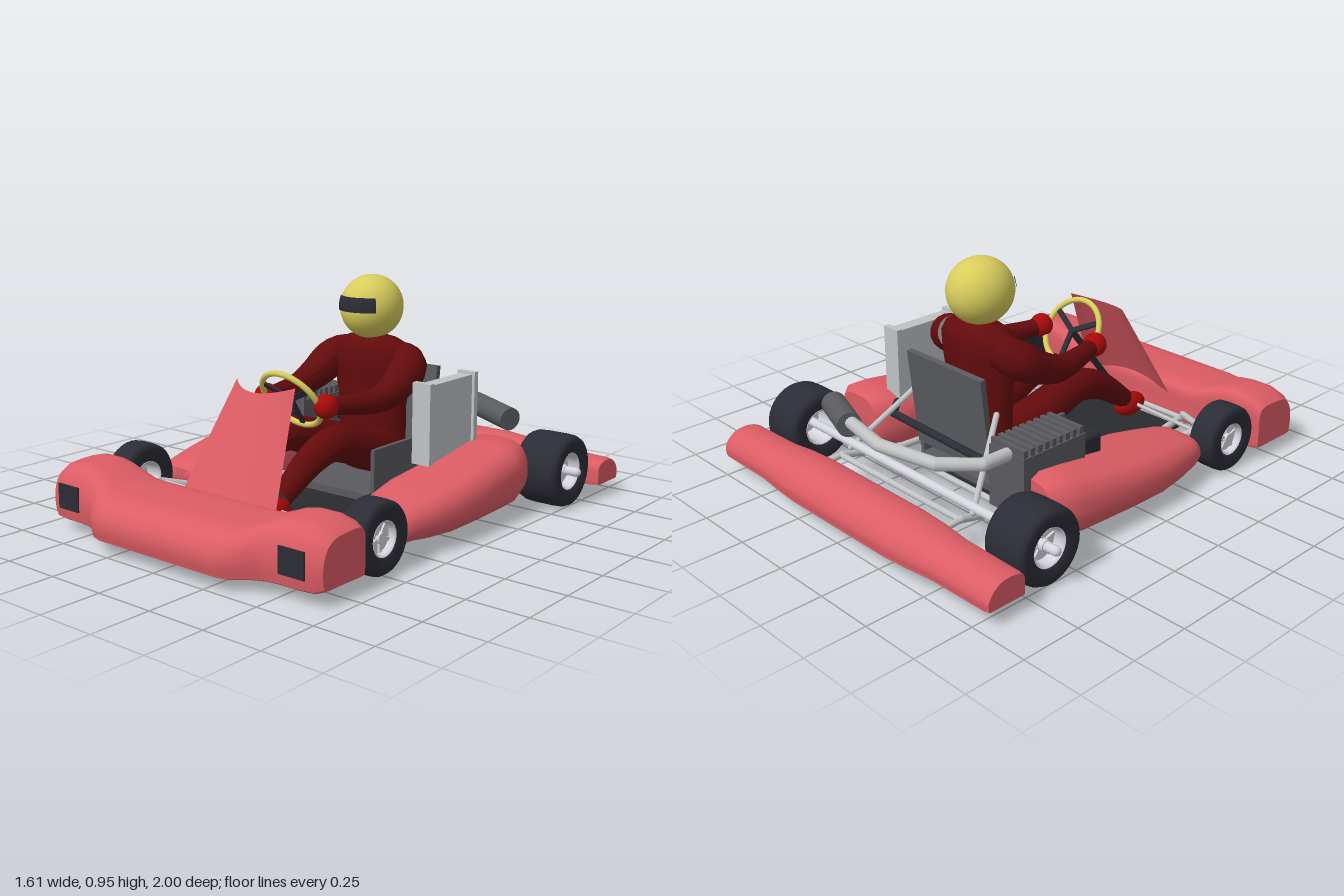
import * as THREE from 'three';
import { toCreasedNormals } from 'three/addons/utils/BufferGeometryUtils.js';
import { RoundedBoxGeometry } from 'three/addons/geometries/RoundedBoxGeometry.js';

const V = (x, y, z) => new THREE.Vector3(x, y, z);

// Skin of rings along x; station = [x, zBack, zFront, yBottom, yTop], profile in 0..1
function loft(stations, profile) {
  const ring = new THREE.CatmullRomCurve3(profile.map(([u, v]) => V(u, v, 0)), true, 'catmullrom', 0.4).getPoints(40);
  const n = ring.length, pos = [], index = [];
  for (const [x, z0, z1, y0, y1] of stations)
    for (const p of ring) pos.push(x, y0 + (y1 - y0) * p.y, z0 + (z1 - z0) * p.x);
  for (let i = 0; i < stations.length - 1; i++)
    for (let j = 0; j < n - 1; j++) {
      const a = i * n + j, b = a + 1, c = a + n, d = c + 1;
      index.push(a, b, c, b, d, c);
    }
  [0, stations.length - 1].forEach((i) => {
    const [x, z0, z1, y0, y1] = stations[i], m = pos.length / 3;
    pos.push(x, (y0 + y1) / 2, (z0 + z1) / 2);
    for (let j = 0; j < n - 1; j++) {
      const a = i * n + j;
      if (i === 0) index.push(m, a + 1, a); else index.push(m, a, a + 1);
    }
  });
  const g = new THREE.BufferGeometry();
  g.setAttribute('position', new THREE.Float32BufferAttribute(pos, 3));
  g.setIndex(index);
  return toCreasedNormals(g, 0.8);
}

const mirrorStations = (half) => [
  ...half.slice().reverse().filter((s) => s[0] > 0).map(([x, ...r]) => [-x, ...r]), ...half];

// Smooth tube whose radius follows a list
function limb(points, radii) {
  const curve = new THREE.CatmullRomCurve3(points), T = 24, R = 16;
  const g = new THREE.TubeGeometry(curve, T, 1, R), p = g.attributes.position;
  const v = V(0, 0, 0), rc = new THREE.CatmullRomCurve3(radii.map((r, i) => V(r, i, 0)));
  for (let i = 0; i < p.count; i++) {
    const t = Math.floor(i / (R + 1)) / T, c = curve.getPointAt(t);
    v.fromBufferAttribute(p, i).sub(c).multiplyScalar(rc.getPoint(t).x).add(c);
    p.setXYZ(i, v.x, v.y, v.z);
  }
  g.computeVertexNormals();
  return g;
}

export function createModel() {
  const model = new THREE.Group();
  const mat = (name, color, side = THREE.FrontSide) =>
    Object.assign(new THREE.MeshStandardMaterial({ color, side }), { name });
  const body = mat('coral bodywork', 0xdc5c64, THREE.DoubleSide);
  const suit = mat('dark red suit', 0x620b0c);
  const red = mat('red gloves', 0xa80a0a);
  const yellow = mat('yellow', 0xd8cc5c);
  const black = mat('tyre black', 0x2b2c35);
  const panBlack = mat('floor black', 0x292b2f);
  const dark = mat('dark grey metal', 0x5a5b5f);
  const silver = mat('silver', 0xc0c2c4);
  const pale = mat('pale metal', 0xd4d4dc, THREE.DoubleSide);

  const add = (name, geo, m, x = 0, y = 0, z = 0, parent = model) => {
    const mesh = new THREE.Mesh(geo, m);
    mesh.name = name;
    mesh.position.set(x, y, z);
    parent.add(mesh);
    return mesh;
  };
  const box = (name, w, h, d, m, x, y, z) => add(name, new THREE.BoxGeometry(w, h, d), m, x, y, z);
  // Straight bars through points with ball joints
  const rods = (name, pts, r, m) => {
    const g = new THREE.Group();
    g.name = name;
    model.add(g);
    pts.forEach((p, i) => {
      add('joint', new THREE.SphereGeometry(r, 12, 8), m, p.x, p.y, p.z, g);
      if (!i) return;
      const d = p.clone().sub(pts[i - 1]);
      const mid = p.clone().add(pts[i - 1]).multiplyScalar(0.5);
      const bar = add('bar', new THREE.CylinderGeometry(r, r, d.length(), 12), m, mid.x, mid.y, mid.z, g);
      bar.quaternion.setFromUnitVectors(V(0, 1, 0), d.normalize());
    });
  };

  // Bumpers
  add('frontBumper', loft(mirrorStations([
    [0, 0.64, 1, 0.05, 0.22], [0.3, 0.64, 1, 0.05, 0.22], [0.35, 0.64, 0.985, 0.05, 0.225],
    [0.41, 0.645, 0.935, 0.05, 0.245], [0.46, 0.65, 0.912, 0.05, 0.265], [0.52, 0.65, 0.905, 0.05, 0.276],
    [0.6, 0.65, 0.905, 0.05, 0.276], [0.66, 0.65, 0.895, 0.05, 0.26], [0.69, 0.655, 0.88, 0.06, 0.24],
  ]), [[0, 0.08], [0, 0.4], [0, 0.8], [0.06, 0.95], [0.2, 1], [0.5, 0.99], [0.72, 0.95], [0.88, 0.82],
    [0.97, 0.6], [1, 0.35], [0.98, 0.08], [0.93, 0], [0.5, 0], [0.05, 0]]), body);
  add('rearBumper', loft(mirrorStations([
    [0, -1, -0.795, 0.06, 0.2], [0.28, -1, -0.795, 0.06, 0.2], [0.4, -0.99, -0.795, 0.06, 0.19],
    [0.52, -0.975, -0.8, 0.06, 0.175], [0.78, -0.972, -0.8, 0.06, 0.167], [0.8, -0.968, -0.802, 0.063, 0.162],
  ]), [[0.01, 0.1], [0, 0.35], [0.1, 0.66], [0.32, 0.93], [0.6, 1], [0.85, 0.93], [0.97, 0.8], [1, 0.6],
    [1, 0.08], [0.95, 0], [0.5, 0], [0.05, 0]]), body);

  // Steering fairing: a curved sheet
  const fairing = new THREE.PlaneGeometry(2, 1, 20, 12), fp = fairing.attributes.position;
  for (let i = 0; i < fp.count; i++) {
    const u = fp.getX(i), v = fp.getY(i) + 0.5;
    fp.setXYZ(i, u * (0.24 - 0.09 * v), 0.18 + 0.39 * v + 0.025 * v * u * u,
      0.66 - 0.195 * v - u * u * (0.05 + 0.02 * v));
  }
  fairing.computeVertexNormals();
  add('steeringFairing', fairing, body);

  const podGeo = loft([
    [-0.5, -0.11, 0.11, 0.11, 0.28], [-0.46, -0.15, 0.15, 0.08, 0.3], [-0.36, -0.175, 0.175, 0.055, 0.29],
    [-0.1, -0.18, 0.18, 0.05, 0.25], [0.08, -0.18, 0.18, 0.05, 0.23], [0.2, -0.16, 0.16, 0.055, 0.21],
    [0.31, -0.135, 0.135, 0.065, 0.19], [0.35, -0.12, 0.12, 0.075, 0.18], [0.372, -0.085, 0.085, 0.1, 0.16],
  ], [[0.06, 0.1], [0, 0.35], [0.02, 0.68], [0.12, 0.9], [0.3, 0.99], [0.5, 1], [0.7, 0.99], [0.88, 0.9],
    [0.98, 0.68], [1, 0.35], [0.94, 0.1], [0.82, 0], [0.5, 0], [0.18, 0]]).rotateY(-Math.PI / 2);

  // Wheels: tyre, dished rim, hub and spokes
  const wheel = (name, x, y, z, r, w, rim) => {
    const g = new THREE.Group();
    g.name = name;
    g.position.set(x, y, z);
    g.rotation.z = x > 0 ? -Math.PI / 2 : Math.PI / 2;
    model.add(g);
    const h = w / 2, pts = (a) => a.map(([p, q]) => new THREE.Vector2(p, q));
    add('tyre', new THREE.LatheGeometry(pts([[rim, -h * 0.85], [rim + 0.01, -h * 0.95], [r * 0.8, -h],
      [r * 0.93, -h * 0.93], [r * 0.985, -h * 0.75], [r, -h * 0.4], [r, h * 0.4], [r * 0.985, h * 0.75],
      [r * 0.93, h * 0.93], [r * 0.8, h], [rim + 0.01, h * 0.95], [rim, h * 0.85]]), 36), black, 0, 0, 0, g);
    add('rim', new THREE.LatheGeometry(pts([[rim, -h * 0.88], [rim * 0.88, -h * 0.8], [rim * 0.82, h * 0.3],
      [rim * 0.88, h * 0.8], [rim, h * 0.88]]), 28), pale, 0, 0, 0, g);
    add('rimDisc', new THREE.CylinderGeometry(rim * 0.84, rim * 0.84, 0.012, 28), pale, 0, h * 0.35, 0, g);
    add('hub', new THREE.CylinderGeometry(rim * 0.3, rim * 0.34, h * 0.6, 16), pale, 0, h * 0.4, 0, g);
    for (let i = 0; i < 5; i++) {
      const arm = new THREE.BoxGeometry(rim * 0.6, 0.02, rim * 0.18).translate(rim * 0.5, 0, 0);
      add('spoke', arm, pale, 0, h * 0.4, 0, g).rotation.y = (i * Math.PI * 2) / 5;
    }
  };

  // Parts that repeat on both sides
  for (const s of [1, -1]) {
    const side = s > 0 ? 'left' : 'right';
    add(side + 'SidePod', podGeo, body, s * 0.508, 0, 0);
    box(side + 'BumperPlate', 0.115, 0.1, 0.008, black, s * 0.573, 0.146, 0.905);
    wheel(side + 'RearWheel', s * 0.668, 0.154, -0.637, 0.153, 0.2, 0.078);
    wheel(side + 'FrontWheel', s * 0.607, 0.143, 0.507, 0.14, 0.125, 0.068);
    // Frame and suspension bars
    rods(side + 'Rail', [V(s * 0.36, 0.13, -0.7), V(s * 0.35, 0.07, -0.45), V(s * 0.33, 0.06, 0.33),
      V(s * 0.28, 0.07, 0.68)], 0.015, silver);
    rods(side + 'FrontArm', [V(s * 0.3, 0.09, 0.64), V(s * 0.51, 0.14, 0.505), V(s * 0.43, 0.1, 0.36),
      V(s * 0.33, 0.07, 0.27)], 0.014, silver);
    rods(side + 'StubAxle', [V(s * 0.5, 0.143, 0.507), V(s * 0.61, 0.143, 0.507)], 0.016, pale);
    rods(side + 'TieRod', [V(s * 0.03, 0.14, 0.5), V(s * 0.5, 0.13, 0.48)], 0.008, silver);
    rods(side + 'SeatStay', [V(s * 0.22, 0.4, -0.39), V(s * 0.37, 0.14, -0.65)], 0.012, silver);
    rods(side + 'BumperBracket', [V(s * 0.36, 0.13, -0.7), V(s * 0.36, 0.12, -0.83)], 0.013, silver);
    // Driver limbs
    add(side + 'Arm', limb([V(s * 0.13, 0.61, -0.29), V(s * 0.19, 0.59, -0.27), V(s * 0.213, 0.52, -0.15),
      V(s * 0.21, 0.485, -0.04), V(s * 0.185, 0.485, 0.09), V(s * 0.155, 0.493, 0.21)],
    [0.07, 0.077, 0.064, 0.052, 0.042, 0.034]), suit);
    add(side + 'Glove', new THREE.SphereGeometry(0.05, 20, 14), red, s * 0.155, 0.495, 0.22);
    add(side + 'Leg', limb([V(s * 0.09, 0.2, -0.28), V(s * 0.115, 0.265, -0.06), V(s * 0.125, 0.325, 0.13),
      V(s * 0.125, 0.29, 0.27), V(s * 0.12, 0.17, 0.45)], [0.09, 0.085, 0.074, 0.06, 0.042]), suit);
    add(side + 'Boot', new THREE.SphereGeometry(0.05, 18, 12), red, s * 0.12, 0.13, 0.49).scale.set(0.95, 1, 1.7);
    box(side + 'SeatSide', 0.02, 0.2, 0.4, dark, s * 0.205, 0.18, -0.21);
  }

  // Floor, axle and cross bars
  box('floorPan', 0.59, 0.01, 1.03, panBlack, 0, 0.035, 0.105);
  rods('rearAxle', [V(-0.785, 0.155, -0.637), V(0.785, 0.155, -0.637)], 0.019, pale);
  rods('rearCrossBar', [V(-0.36, 0.13, -0.705), V(0.36, 0.13, -0.705)], 0.013, silver);
  rods('middleCrossBar', [V(-0.35, 0.07, -0.45), V(0.35, 0.07, -0.45)], 0.013, silver);
  rods('frontCrossBar', [V(-0.29, 0.07, 0.64), V(0.29, 0.07, 0.64)], 0.013, silver);
  rods('coolantHose', [V(-0.34, 0.26, -0.46), V(-0.28, 0.27, -0.51), V(0.32, 0.25, -0.465),
    V(0.36, 0.27, -0.41)], 0.016, black);

  // Seat
  box('seatBase', 0.42, 0.03, 0.45, dark, 0, 0.09, -0.19);
  box('seatBack', 0.43, 0.41, 0.025, dark, 0, 0.355, -0.43).rotation.x = -0.11;

  // Driver torso and helmet
  const torso = [[0, 0.1], [0.14, 0.12], [0.165, 0.25], [0.165, 0.4], [0.19, 0.55], [0.195, 0.62],
    [0.17, 0.665], [0.12, 0.688], [0.06, 0.7], [0, 0.72]].map(([r, y]) => new THREE.Vector2(r, y));
  add('torso', new THREE.LatheGeometry(torso, 28), suit, 0, 0, -0.275).scale.z = 0.52;
  add('helmet', new THREE.SphereGeometry(1, 36, 24), yellow, 0, 0.815, -0.265).scale.set(0.129, 0.134, 0.14);
  add('visor', new THREE.SphereGeometry(1, 20, 6, Math.PI / 2 - 0.82, 1.64, 1.19, 0.45), black, 0, 0.815, -0.265)
    .scale.set(0.133, 0.138, 0.145);

  // Steering wheel and column
  const steering = new THREE.Group();
  steering.name = 'steeringWheel';
  steering.position.set(0, 0.505, 0.247);
  steering.rotation.x = 0.58;
  model.add(steering);
  add('wheelRim', new THREE.TorusGeometry(0.137, 0.012, 12, 40), yellow, 0, 0, 0, steering);
  for (let i = 0; i < 3; i++)
    add('wheelSpoke', new THREE.BoxGeometry(0.022, 0.135, 0.01).translate(0, 0.067, 0), black, 0, 0, 0, steering)
      .rotation.z = Math.PI + (i * Math.PI * 2) / 3;
  rods('steeringColumn', [V(0, 0.5, 0.25), V(0, 0.14, 0.54)], 0.014, black);

  // Radiator on the left pod
  box('radiatorCore', 0.06, 0.32, 0.3, silver, 0.41, 0.405, -0.222);
  for (const z of [-0.067, -0.378]) box('radiatorTank', 0.085, 0.33, 0.025, silver, 0.41, 0.41, z);

  // Engine on the right side
  box('engineBlock', 0.185, 0.25, 0.32, dark, -0.427, 0.245, -0.375);
  for (let i = 0; i < 9; i++) box('coolingFin', 0.175, 0.035, 0.02, dark, -0.427, 0.382, -0.52 + i * 0.036);
  add('airBox', new RoundedBoxGeometry(0.15, 0.14, 0.13, 3, 0.02), black, -0.427, 0.265, -0.165);

  // Exhaust
  rods('exhaustPipe', [V(-0.43, 0.36, -0.5), V(-0.44, 0.37, -0.66), V(-0.33, 0.375, -0.785),
    V(-0.06, 0.37, -0.83), V(0.22, 0.345, -0.755)], 0.026, silver);
  const muffler = add('muffler', new THREE.CylinderGeometry(0.05, 0.05, 0.26, 24), dark, 0.32, 0.33, -0.72);
  muffler.quaternion.setFromUnitVectors(V(0, 1, 0), V(0.24, -0.02, 0.1).normalize());

  return model;
}
